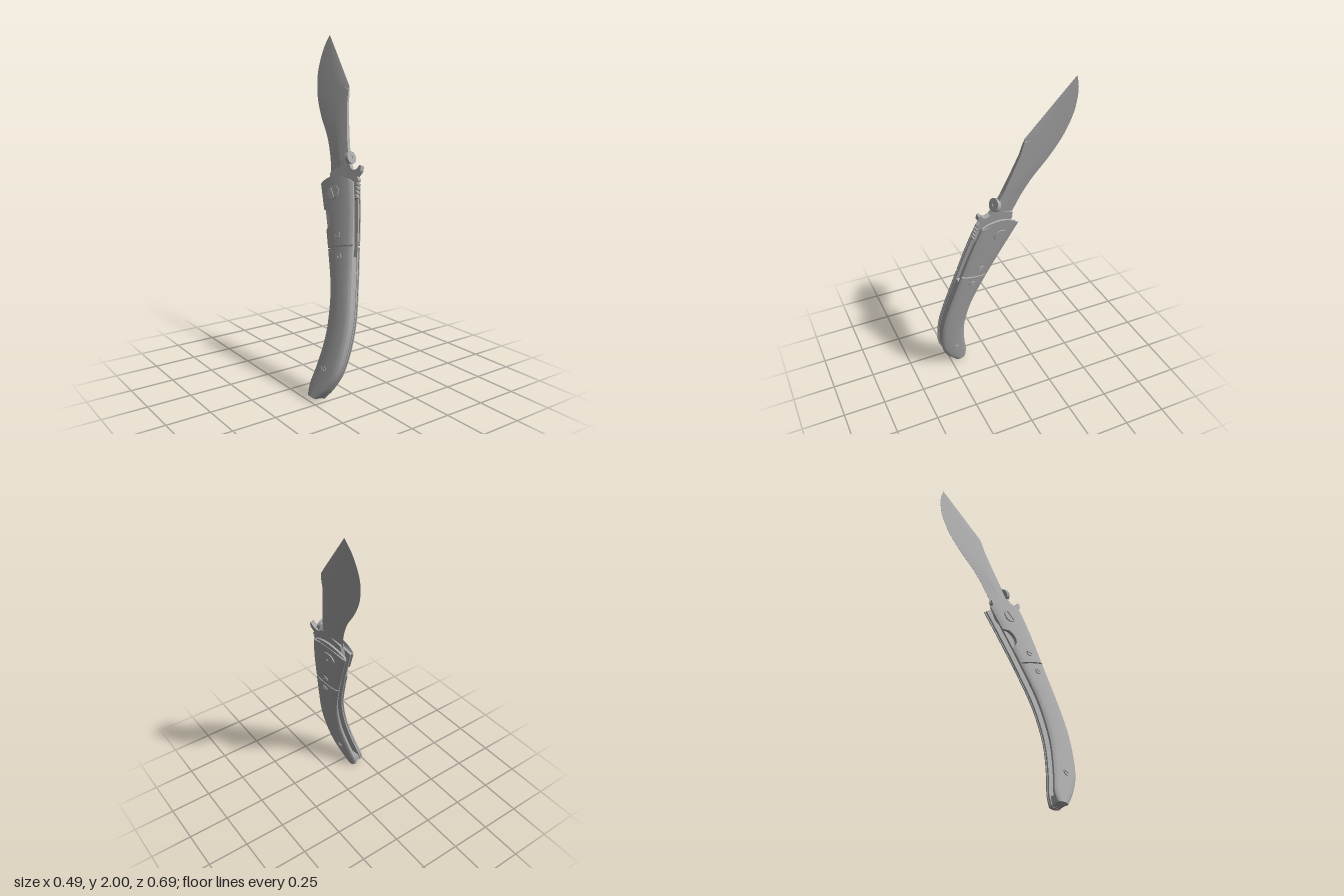
import * as THREE from 'three';
import { toCreasedNormals } from 'three/addons/utils/BufferGeometryUtils.js';

// Knife plane: shapes are drawn flat (X across, Y along, Z thickness), then leaned into place
const A = 0.262, B = 0.155;
const LEAN = new THREE.Matrix4().makeBasis(
  new THREE.Vector3(-B, 0, -1),
  new THREE.Vector3(A, 1, 0),
  new THREE.Vector3(1, -A, -B).normalize()
).setPosition(-0.233, 0, 0);

const v = ([x, y]) => new THREE.Vector2(x, y);

// Paired front and back edge points of the handle, pommel to top
const FRONT = [[-0.215, 0], [-0.27, 0.07], [-0.315, 0.165], [-0.333, 0.29], [-0.328, 0.44],
  [-0.296, 0.6], [-0.238, 0.835], [-0.19, 1.02], [-0.143, 1.165]];
const BACK = [[-0.148, 0.01], [-0.143, 0.07], [-0.163, 0.165], [-0.181, 0.3], [-0.178, 0.42],
  [-0.145, 0.59], [-0.065, 0.79], [0.01, 0.955], [0.095, 1.13]];
const frontCurve = new THREE.SplineCurve(FRONT.map(v));
const backCurve = new THREE.SplineCurve(BACK.map(v));

// Handle point: u runs 0..8 up the handle, w runs 0..1 from front to back edge
function handlePoint(u, w) {
  const p = frontCurve.getPoint(u / 8).lerp(backCurve.getPoint(u / 8), w);
  p.y += 0.16 * w * (1 - w) * Math.max(0, u - 7);
  return p.add(new THREE.Vector2(-0.007, 0.012));
}

// Solid through rings of equal size, with end caps
function loft(rings, flip = false) {
  const n = rings[0].length, pos = rings.flat(2), index = [];
  const tri = (a, b, c) => index.push(...(flip ? [a, c, b] : [a, b, c]));
  for (let i = 0; i < rings.length - 1; i++) {
    for (let j = 0; j < n; j++) {
      const k = (j + 1) % n, a = i * n + j, b = i * n + k;
      tri(a, b, a + n);
      tri(b, b + n, a + n);
    }
  }
  const end = (rings.length - 1) * n;
  for (let j = 1; j < n - 1; j++) {
    tri(0, j + 1, j);
    tri(end, end + j, end + j + 1);
  }
  const g = new THREE.BufferGeometry();
  g.setAttribute('position', new THREE.Float32BufferAttribute(pos, 3));
  g.setIndex(index);
  return g;
}

// Flat plate from z0 to z1
function plate(shape, z0, z1) {
  return new THREE.ExtrudeGeometry(shape, { depth: z1 - z0, bevelEnabled: false, curveSegments: 20 })
    .translate(0, 0, z0);
}

// Strip of the handle outline
function band(u0, u1, w0, w1) {
  const pts = [], N = 40, M = 12;
  for (let i = 0; i <= N; i++) pts.push(handlePoint(u0 + (u1 - u0) * i / N, w0));
  for (let i = 1; i < M; i++) pts.push(handlePoint(u1, w0 + (w1 - w0) * i / M));
  for (let i = N; i >= 0; i--) pts.push(handlePoint(u0 + (u1 - u0) * i / N, w1));
  return new THREE.Shape(pts);
}

// Domed cover; the notched one has a round finger cut in its back edge
function cover(u0, u1, side, notched) {
  const rings = [], N = 48, M = 16;
  for (let i = 0; i <= N; i++) {
    const u = u0 + (u1 - u0) * i / N;
    const f = handlePoint(u, 0), b = handlePoint(u, 1);
    const d = (b.y - 0.95) / 0.05;
    const cut = notched && Math.abs(d) < 1 ? 0.05 * Math.sqrt(1 - d * d) / f.distanceTo(b) : 0;
    const at = (w, t) => {
      const p = handlePoint(u, w * (1 - cut));
      return [p.x, p.y, side * t];
    };
    const ring = [at(0, 0.025)];
    for (let j = 0; j <= M; j++) {
      const w = j / M, dome = Math.sqrt(Math.max(0, 1 - (2 * w * (1 - cut) - 1) ** 2));
      ring.push(at(w, 0.031 + 0.017 * dome));
    }
    ring.push(at(1, 0.025));
    rings.push(ring);
  }
  return loft(rings, side < 0);
}

// Slotted round head
function screwHead(x, y, r, angle) {
  const shape = new THREE.Shape();
  shape.absarc(x, y, r, 0, Math.PI * 2);
  const c = Math.cos(angle), s = Math.sin(angle);
  const corner = (p, q) => new THREE.Vector2(x + r * (p * c - q * s), y + r * (p * s + q * c));
  shape.holes.push(new THREE.Path([corner(-0.8, -0.12), corner(-0.8, 0.12), corner(0.8, 0.12), corner(0.8, -0.12)]));
  return shape;
}

// Blade: straight spine with a clip, curved cutting edge
function bladeGeometry() {
  const spine = [[-0.09, 1.2], [-0.075, 1.275], [-0.03, 1.38], [0.01, 1.5], [0.042, 1.603],
    [0.058, 1.7], [0.16, 1.823], [0.24, 1.92], [0.307, 2]].map(v);
  const edge = new THREE.SplineCurve([[0.053, 1.2], [0.09, 1.3], [0.148, 1.41], [0.233, 1.524],
    [0.3, 1.64], [0.337, 1.76], [0.342, 1.85], [0.332, 1.93], [0.307, 2]].map(v));
  const rings = [];
  for (let i = 0; i <= 64; i++) {
    const k = Math.min(7, Math.floor(i / 8));
    const s = spine[k].clone().lerp(spine[k + 1], i / 8 - k);
    const e = edge.getPoint(i / 64);
    const h = 0.013 * Math.min(1, (2 - s.y) / 0.6);
    const back = h * (s.y > 1.68 ? 0.35 : 0.85);
    const at = (w, t) => [s.x + (e.x - s.x) * w, s.y + (e.y - s.y) * w, t];
    rings.push([at(0, back), at(0.15, h), at(0.45, h), at(1, 0.0005),
      at(1, -0.0005), at(0.45, -h), at(0.15, -h), at(0, -back)]);
  }
  return loft(rings);
}

// Blade root with finger hook and thumb teeth
function tangShape() {
  const pts = [[0.053, 1.215], [-0.075, 1.28], [-0.095, 1.25], [-0.12, 1.24], [-0.14, 1.25],
    [-0.156, 1.272], [-0.168, 1.268], [-0.17, 1.24], [-0.152, 1.21]];
  for (let i = 0; i < 5; i++) {
    const y = 1.195 - i * 0.022, x = -0.158 - i * 0.004;
    pts.push([x - 0.01, y], [x - 0.01, y - 0.01], [x + 0.004, y - 0.014]);
  }
  pts.push([-0.12, 1.06], [-0.03, 1.035], [0.03, 1.1]);
  return new THREE.Shape(pts.map(v));
}

export function createModel() {
  const model = new THREE.Group();
  model.name = 'foldingKnife';
  const steel = new THREE.MeshStandardMaterial({ color: 0xaaaaaa });
  steel.name = 'grey steel';
  const add = (name, geometry, crease = 0.5) => {
    const mesh = new THREE.Mesh(toCreasedNormals(geometry.applyMatrix4(LEAN), crease), steel);
    mesh.name = name;
    model.add(mesh);
  };

  // Blade and its root
  add('blade', bladeGeometry(), 0.15);
  add('tang', plate(tangShape(), -0.013, 0.013));

  // Thumb disc standing on the spine
  const disc = new THREE.Shape();
  disc.absarc(0, 0, 0.036, 0, Math.PI * 2);
  const socket = new THREE.Path();
  for (let i = 0; i < 6; i++) {
    const a = i * Math.PI / 3;
    socket[i ? 'lineTo' : 'moveTo'](0.011 * Math.cos(a), 0.011 * Math.sin(a));
  }
  socket.closePath();
  disc.holes.push(socket);
  const place = g => g.rotateY(-Math.PI / 2).rotateZ(-0.36).translate(-0.065, 1.305, 0);
  add('thumbDisc', place(plate(disc, -0.011, 0.011)));
  add('thumbDiscCore', place(new THREE.CylinderGeometry(0.014, 0.014, 0.014, 16).rotateX(Math.PI / 2)));

  // Inner parts between the liners
  add('backSpacer', plate(band(0.1, 5.75, 0.05, 0.24), -0.0155, 0.0155));
  add('pommelSpacer', plate(band(0.05, 0.8, 0.06, 0.9), -0.0155, 0.0155));
  add('lockBar', plate(band(5.8, 7.2, 0.12, 0.32), -0.008, 0.008));

  // Liners, covers and screws on both sides
  const screws = [[-0.03, 1.095, 0.04, 0.9], [-0.13, 0.87, 0.019, 0.2],
    [-0.172, 0.762, 0.019, 0.5], [-0.233, 0.17, 0.017, 0.4]];
  for (const side of [1, -1]) {
    const label = side > 0 ? 'left' : 'right';
    const [l0, l1] = side > 0 ? [0.015, 0.0255] : [-0.0255, -0.015];
    add(label + 'Liner', plate(band(0.04, 7.96, 0.03, 0.97), l0, l1));
    add(label + 'Scale', cover(0, 5.98, side, false));
    add(label + 'Bolster', cover(6.02, 8, side, side < 0));
    screws.forEach(([x, y, r, angle], i) => {
      const shape = screwHead(x - 0.007, y + 0.012, r, angle);
      const [z0, z1] = side > 0 ? [0.038, 0.053] : [-0.053, -0.038];
      add(label + (i ? 'Screw' + i : 'Pivot'), plate(shape, z0, z1));
    });
  }
  return model;
}
